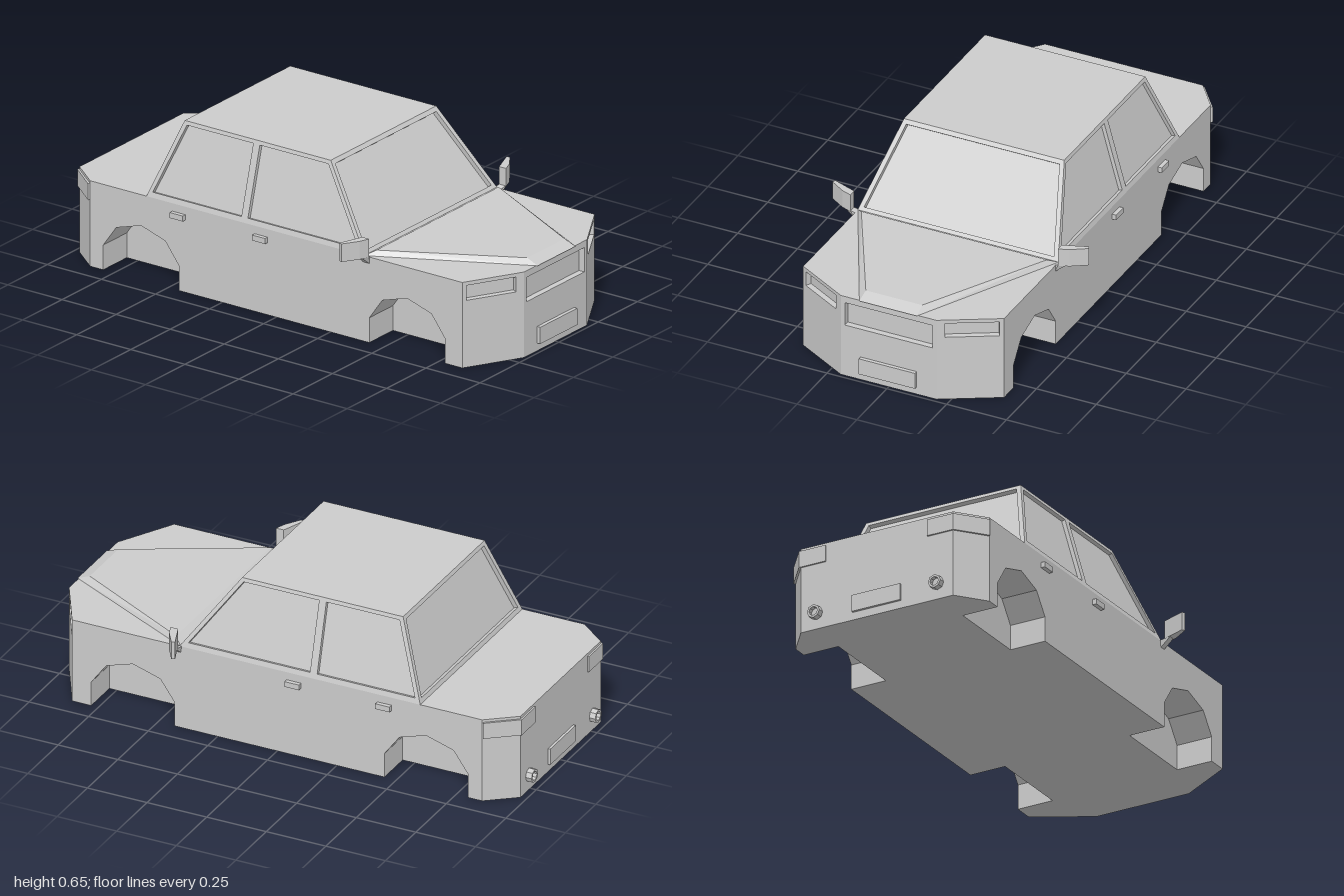
import * as THREE from 'three';
import { mergeGeometries } from 'three/addons/utils/BufferGeometryUtils.js';
import { ConvexGeometry } from 'three/addons/geometries/ConvexGeometry.js';

const V = (x, y, z) => new THREE.Vector3(x, y, z);
const H = 0.345, ROOF = 0.65;      // shoulder and roof heights
const W = 0.42, WELL = 0.27;       // half width, inner face of wheel wells

// Mirrors a loop of points to the other side, keeping it facing outward.
const side = (pts, s) => s > 0 ? pts : pts.map(p => V(-p.x, p.y, p.z)).reverse();
const both = half => [...half, ...side(half, -1)];

// Flat polygon, counter-clockwise from outside, with recessed pockets.
function panel(pts, pockets = [], depth = 0) {
  const u = pts[1].clone().sub(pts[0]).normalize();
  const n = u.clone().cross(pts[2].clone().sub(pts[1])).normalize();
  const v = n.clone().cross(u);
  const basis = new THREE.Matrix4().makeBasis(u, v, n).setPosition(pts[0]);
  const flat = loop => loop.map(p => {
    const d = p.clone().sub(pts[0]);
    return new THREE.Vector2(d.dot(u), d.dot(v));
  });
  const shape = new THREE.Shape(flat(pts));
  shape.holes = pockets.map(h => new THREE.Path(flat(h)));
  const parts = [new THREE.ShapeGeometry(shape).applyMatrix4(basis)];
  for (const h of pockets) {
    const rim = flat(h).map(p => V(p.x, p.y, 0).applyMatrix4(basis));
    const deep = rim.map(p => p.clone().addScaledVector(n, -depth));
    parts.push(panel(deep));
    rim.forEach((a, i) => {
      const j = (i + 1) % rim.length;
      parts.push(panel([a, rim[j], deep[j], deep[i]]));
    });
  }
  return parts.length > 1 ? mergeGeometries(parts) : parts[0];
}

// Upright prism over a plan outline of [x, z] points.
function prism(plan, y0, y1) {
  const shape = new THREE.Shape(plan.map(([x, z]) => new THREE.Vector2(x, -z)));
  const g = new THREE.ExtrudeGeometry(shape, { depth: y1 - y0, bevelEnabled: false });
  return g.rotateX(-Math.PI / 2).translate(0, y0, 0);
}

export function createModel() {
  const model = new THREE.Group();
  model.name = 'car';
  const mat = new THREE.MeshStandardMaterial({ color: 0xcccccc, flatShading: true });
  const add = (name, geo) => {
    const m = new THREE.Mesh(geo, mat);
    m.name = name;
    model.add(m);
    return m;
  };
  const box = (name, w, h, d, x, y, z) =>
    add(name, new THREE.BoxGeometry(w, h, d)).position.set(x, y, z);

  // Wheel arch outlines as [z, y], front to back
  const arch = c => [[0.175, 0], [0.175, 0.1], [0.112, 0.185], [0, 0.22],
    [-0.115, 0.185], [-0.175, 0.1], [-0.175, 0]].map(([z, y]) => [c + z, y]);
  const arches = [arch(0.605), arch(-0.625)];

  // Lower body: decks, underside, nose and tail
  add('frontDeck', panel(both([V(0.2, H, 0.985), V(W, H, 0.86), V(W, H, 0.41)])));
  add('rearDeck', panel(both([V(W, H, -0.6), V(W, H, -0.86), V(0.33, H, -0.975)])));
  const floorHalf = [V(0.2, 0, 0.985), V(W, 0, 0.86)];
  for (const a of arches) {
    const zf = a[0][0], zb = a[6][0];
    floorHalf.push(V(W, 0, zf), V(WELL, 0, zf), V(WELL, 0, zb), V(W, 0, zb));
  }
  floorHalf.push(V(W, 0, -0.86), V(0.33, 0, -0.975));
  add('underside', panel(both(floorHalf).reverse()));

  const rect = (x, y0, y1, z) => [V(-x, y0, z), V(x, y0, z), V(x, y1, z), V(-x, y1, z)];
  add('noseWithGrille', panel(rect(0.2, 0, H, 0.985), [rect(0.183, 0.22, 0.318, 0.985)], 0.025));
  add('tail', panel([V(0.33, 0, -0.975), V(-0.33, 0, -0.975), V(-0.33, H, -0.975), V(0.33, H, -0.975)]));

  // Cabin: glass is set back into each frame
  const t = y => (y - H) / (ROOF - H);
  const halfX = y => W - 0.085 * t(y);
  const frontZ = y => 0.41 - 0.22 * t(y);
  const rearZ = y => -0.6 + 0.115 * t(y);
  const screen = (y0, y1, zAt, inset) => [
    V(-halfX(y0) + inset, y0, zAt(y0)), V(halfX(y0) - inset, y0, zAt(y0)),
    V(halfX(y1) - inset, y1, zAt(y1)), V(-halfX(y1) + inset, y1, zAt(y1))];
  const flip = pts => [...pts].reverse();
  add('windscreen', panel(screen(H, ROOF, frontZ, 0), [screen(0.36, 0.635, frontZ, 0.019)], 0.018));
  add('rearWindow', panel(flip(screen(H, ROOF, rearZ, 0)), [flip(screen(0.362, 0.635, rearZ, 0.019))], 0.018));
  add('roof', panel([V(-0.335, ROOF, 0.19), V(0.335, ROOF, 0.19), V(0.335, ROOF, -0.485), V(-0.335, ROOF, -0.485)]));

  // Raised bonnet panel
  const hood = [];
  for (const s of [1, -1])
    hood.push(V(s * W, H, 0.405), V(s * 0.12, H, 0.99), V(s * 0.388, 0.365, 0.44), V(s * 0.118, 0.365, 0.94));
  add('bonnet', new ConvexGeometry(hood));

  for (const s of [1, -1]) {
    const name = part => (s > 0 ? 'left' : 'right') + part;
    const P = pts => side(pts, s);

    // Flank with wheel wells
    const flank = [V(W, 0, 0.86)];
    for (const a of arches) a.forEach(([z, y]) => flank.push(V(W, y, z)));
    flank.push(V(W, 0, -0.86), V(W, H, -0.86), V(W, H, 0.86));
    add(name('Flank'), panel(P(flank)));
    arches.forEach((a, k) => {
      const liner = [panel(P(a.map(([z, y]) => V(WELL, y, z)).reverse()))];
      for (let i = 0; i < a.length - 1; i++) {
        const [za, ya] = a[i], [zb, yb] = a[i + 1];
        liner.push(panel(P([V(W, yb, zb), V(W, ya, za), V(WELL, ya, za), V(WELL, yb, zb)])));
      }
      add(name(k ? 'RearWheelWell' : 'FrontWheelWell'), mergeGeometries(liner));
    });

    // Cut corners, with a sunken headlight in the front one
    const cornerZ = x => 0.985 - (x - 0.2) * 0.125 / 0.22;
    const corner = (x0, x1, y0, y1) => P([V(x0, y0, cornerZ(x0)), V(x1, y0, cornerZ(x1)),
      V(x1, y1, cornerZ(x1)), V(x0, y1, cornerZ(x0))]);
    add(name('HeadlightCorner'), panel(corner(0.2, W, 0, H), [corner(0.228, 0.405, 0.27, 0.33)], 0.024));
    add(name('RearCorner'), panel(P([V(W, 0, -0.86), V(0.33, 0, -0.975), V(0.33, H, -0.975), V(W, H, -0.86)])));

    // Wrap-around tail light
    add(name('TailLight'), prism([[0.22, -0.97], [0.22, -0.982], [0.334, -0.982], [0.426, -0.866],
      [0.415, -0.86], [0.327, -0.97]].map(([x, z]) => [s * x, z]), 0.268, 0.334));

    // Side windows
    const win = (z0, z1, z2, z3) => [[z0, 0.365], [z1, 0.365], [z2, 0.635], [z3, 0.635]]
      .map(([z, y]) => V(halfX(y), y, z));
    const frame = [V(W, H, 0.41), V(W, H, -0.6), V(0.335, ROOF, -0.485), V(0.335, ROOF, 0.19)];
    add(name('SideWindows'), panel(P(frame),
      [P(win(0.375, -0.135, -0.135, 0.182)), P(win(-0.165, -0.575, -0.472, -0.165))], 0.015));

    // Door handles
    for (const z of [-0.07, -0.45])
      box(name('DoorHandle'), 0.02, 0.022, 0.06, s * 0.427, 0.302, z);

    // Door mirror and its stalk
    add(name('Mirror'), prism([[0.434, 0.44], [0.475, 0.425], [0.536, 0.385], [0.53, 0.372], [0.434, 0.408]]
      .map(([x, z]) => [s * x, z]), 0.352, 0.425));
    add(name('MirrorStalk'), new ConvexGeometry([[0.415, 0.315, 0.405], [0.415, 0.315, 0.43],
      [0.415, 0.345, 0.4], [0.415, 0.345, 0.43], [0.435, 0.355, 0.41], [0.435, 0.355, 0.438],
      [0.465, 0.355, 0.402], [0.465, 0.355, 0.426]].map(([x, y, z]) => V(s * x, y, z))));

    // Hollow exhaust tip
    const pipe = [[0.027, 0], [0.027, 0.03], [0.018, 0.03], [0.018, 0.012], [0, 0.012]];
    const tip = new THREE.LatheGeometry(pipe.map(p => new THREE.Vector2(...p)), 8);
    add(name('Exhaust'), tip.rotateX(-Math.PI / 2).translate(s * 0.262, 0.065, -0.97));
  }

  // Number plates
  box('frontPlate', 0.235, 0.067, 0.02, 0, 0.065, 0.99);
  box('rearPlate', 0.21, 0.067, 0.02, 0, 0.065, -0.975);
  return model;
}
